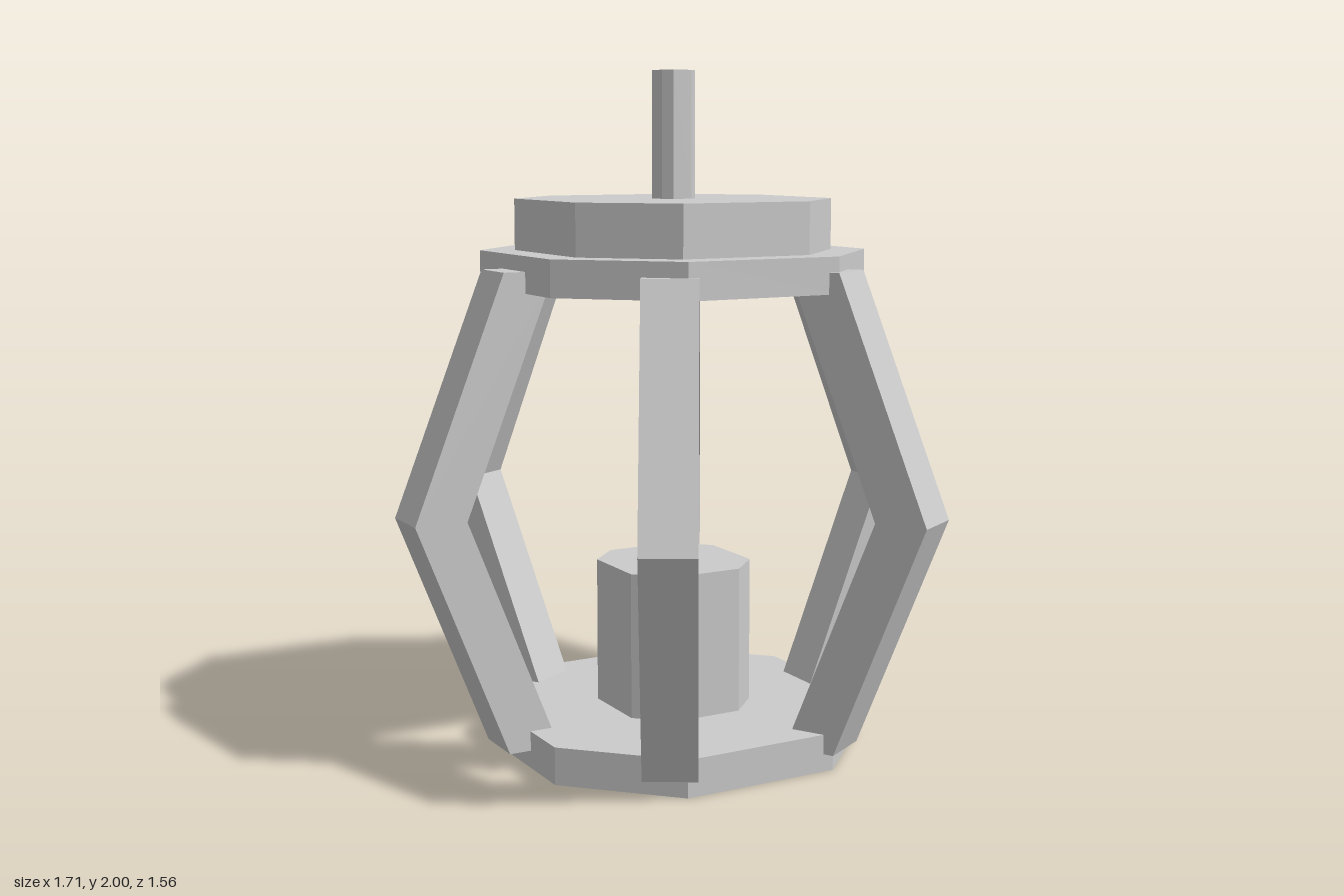
import * as THREE from 'three';

const material = new THREE.MeshStandardMaterial({ color: 0xcccccc, flatShading: true });

function extrude(points, depth) {
  const shape = new THREE.Shape(points.map(([x, y]) => new THREE.Vector2(x, y)));
  return new THREE.ExtrudeGeometry(shape, { depth, bevelEnabled: false });
}

// Upright eight-sided prism: a square of half width r, its corners cut at c
function octagonPrism(name, r, c, y0, y1) {
  const outline = [[r, -c], [r, c], [c, r], [-c, r], [-r, c], [-r, -c], [-c, -r], [c, -r]];
  const geometry = extrude(outline, y1 - y0).rotateX(-Math.PI / 2).translate(0, y0, 0);
  const mesh = new THREE.Mesh(geometry, material);
  mesh.name = name;
  return mesh;
}

export function createModel() {
  const model = new THREE.Group();
  model.name = 'lantern';

  // Stacked plates, candle and top rod
  model.add(
    octagonPrism('basePlate', 0.515, 0.24, 0, 0.11),
    octagonPrism('candle', 0.203, 0.11, 0.11, 0.545),
    octagonPrism('upperPlate', 0.515, 0.24, 1.375, 1.48),
    octagonPrism('cap', 0.42, 0.203, 1.48, 1.63),
    octagonPrism('topRod', 0.055, 0.03, 1.63, 2),
  );

  // Six bent struts around the axis
  const width = 0.156;
  const profile = [
    [0.425, 0.052], [0.58, 0.052], [0.855, 0.744],
    [0.58, 1.436], [0.425, 1.436], [0.7, 0.744],
  ];
  const strutGeometry = extrude(profile, width).translate(0, 0, -width / 2);
  for (let i = 0; i < 6; i++) {
    const strut = new THREE.Mesh(strutGeometry, material);
    strut.name = `strut${i + 1}`;
    strut.rotation.y = (i * Math.PI) / 3;
    model.add(strut);
  }
  return model;
}
